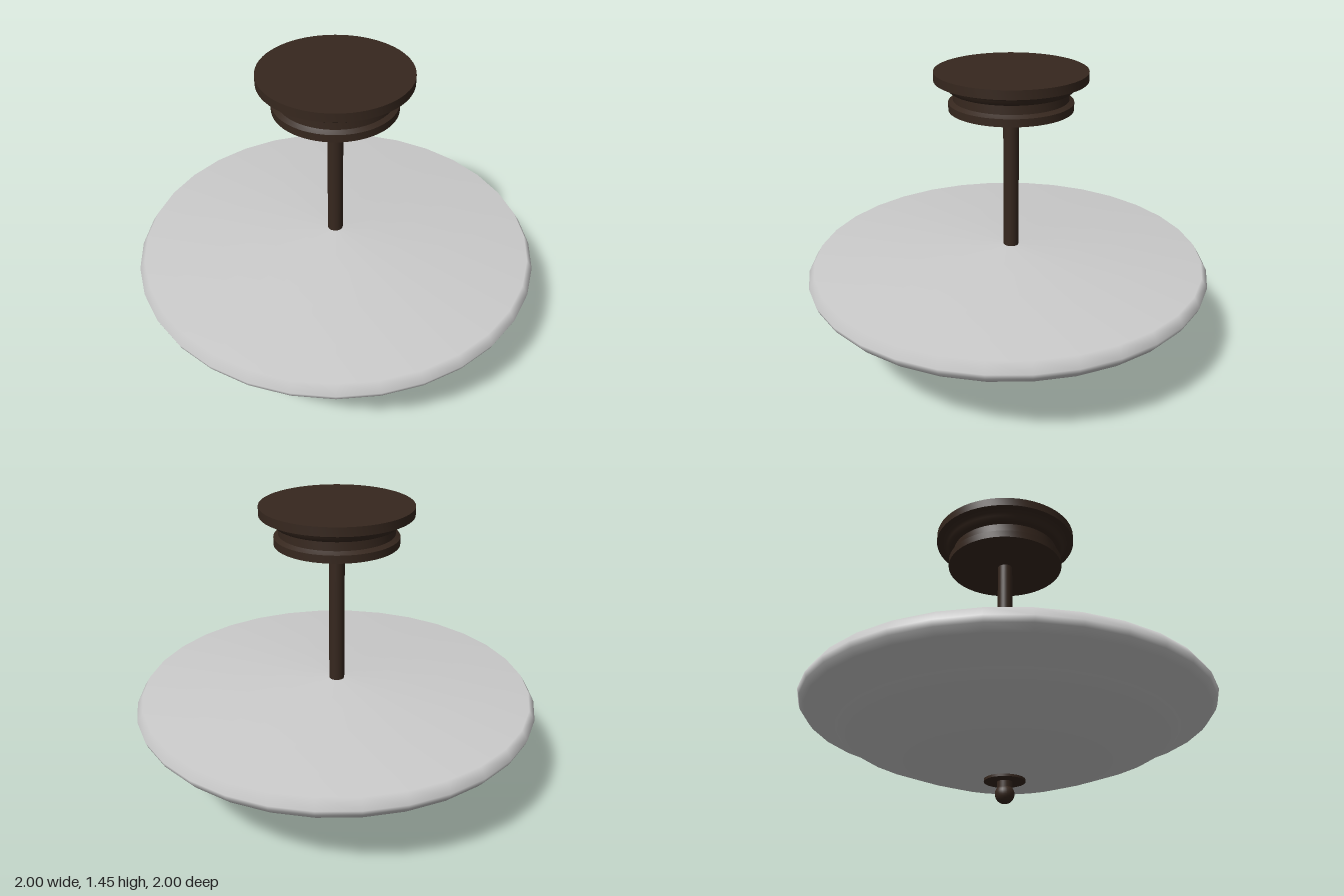
import * as THREE from 'three';
import { toCreasedNormals } from 'three/addons/utils/BufferGeometryUtils.js';

const AXIS_Z = -0.016; // the metal parts sit slightly behind the bowl's centre

function lathe(points, segments) {
  return new THREE.LatheGeometry(points.map(([r, y]) => new THREE.Vector2(r, y)), segments);
}

export function createModel() {
  const model = new THREE.Group();
  const glass = new THREE.MeshStandardMaterial({ color: 0xcccccc, side: THREE.DoubleSide });
  const bronze = new THREE.MeshStandardMaterial({ color: 0x36271e });

  function add(name, geometry, material, y = 0, z = 0) {
    const mesh = new THREE.Mesh(geometry, material);
    mesh.name = name;
    mesh.position.set(0, y, z);
    model.add(mesh);
  }

  // Closed glass bowl with a rolled rim and a shallow conical top
  add('glassBowl', lathe([
    [0, 0.11], [0.1, 0.115], [0.25, 0.132], [0.38, 0.153], [0.57, 0.217], [0.76, 0.29],
    [0.81, 0.325], [0.87, 0.36], [0.965, 0.4], [0.99, 0.43], [1, 0.457],
    [0.97, 0.505], [0, 0.561],
  ], 32), glass);

  // Ceiling canopy: base band, neck, cove and top plate
  add('ceilingCanopy', toCreasedNormals(lathe([
    [0, 1.268], [0.297, 1.268], [0.297, 1.305], [0.288, 1.31], [0.275, 1.318],
    [0.273, 1.36], [0.293, 1.365], [0.302, 1.372], [0.308, 1.387], [0.318, 1.4],
    [0.33, 1.41], [0.363, 1.41], [0.363, 1.453], [0, 1.453],
  ], 64), 0.6), bronze, 0, AXIS_Z);

  // Hanging rod
  add('rod', new THREE.CylinderGeometry(0.038, 0.038, 0.75, 32), bronze, 0.9, AXIS_Z);

  // Lower washer and finial
  add('washer', new THREE.CylinderGeometry(0.098, 0.098, 0.012, 32), bronze, 0.11, AXIS_Z);
  add('finialStem', new THREE.CylinderGeometry(0.036, 0.036, 0.07, 24), bronze, 0.08, AXIS_Z);
  add('finialBall', new THREE.SphereGeometry(0.046, 24, 16), bronze, 0.046, AXIS_Z);

  return model;
}
